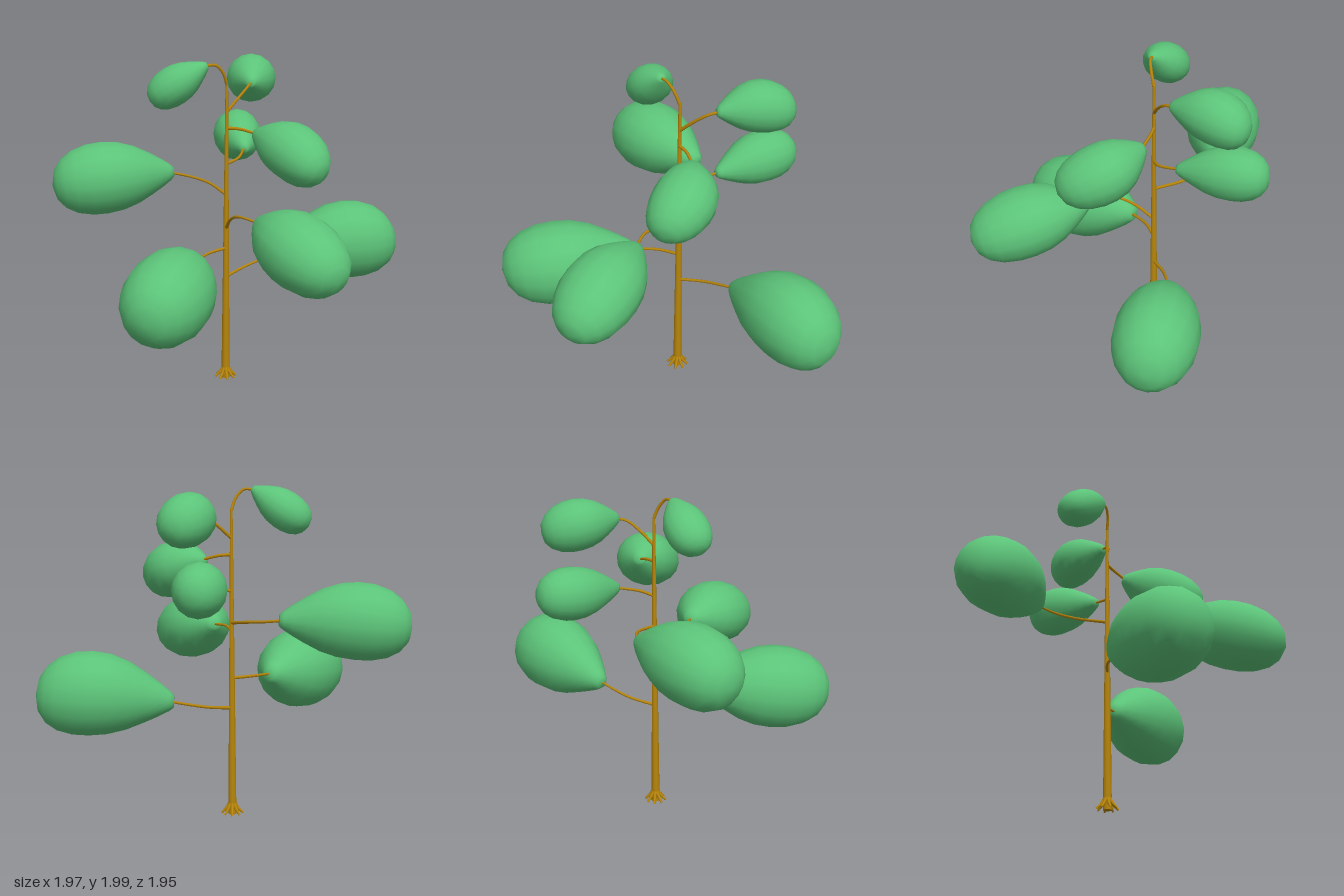
import * as THREE from 'three';
import { mergeVertices } from 'three/addons/utils/BufferGeometryUtils.js';

const bark = new THREE.MeshStandardMaterial({ color: 0xb8860b });
const leaf = new THREE.MeshStandardMaterial({ color: 0x5cc479 });
const V = (a) => new THREE.Vector3(...a);
const X = 0.06, Z = -0.1; // trunk position

// half-width along a leaf clump, from the narrow stem end to the round end
const profile = [[0, 0], [0.15, 0], [0.24, 0.03], [0.4, 0.1], [0.6, 0.2], [0.81, 0.32], [0.95, 0.45],
  [1, 0.58], [0.98, 0.7], [0.87, 0.82], [0.68, 0.91], [0.42, 0.97], [0, 1]]
  .map(([r, t]) => new THREE.Vector2(r, t));

// tip: stem end, belly: centre of the widest section, end: round end, w/h: half sizes
// stem: points of the branch from the trunk to the clump
const limbs = [
  { tip: [0.25, 0.75, -0.42], belly: [0.63, 0.81, -0.71], end: [0.9, 0.8, -0.89], w: 0.235, h: 0.25,
    stem: [[X, 0.67, Z], [0.13, 0.7, -0.26]] },
  { tip: [-0.35, 1.265, -0.22], belly: [-0.69, 1.255, 0.05], end: [-0.95, 1.22, 0.23], w: 0.225, h: 0.222,
    stem: [[X, 1.19, Z], [-0.1, 1.225, -0.2], [-0.24, 1.245, -0.225]] },
  { tip: [-0.03, 0.84, 0.17], belly: [0.03, 0.785, 0.62], end: [0.05, 0.74, 0.97], w: 0.25, h: 0.255,
    stem: [[X, 0.855, Z], [0, 0.85, 0.03]] },
  { tip: [0.36, 1.12, 0.14], belly: [0.67, 1.045, 0.33], end: [0.95, 0.95, 0.5], w: 0.225, h: 0.205,
    stem: [[X, 0.98, Z], [0.13, 1.07, 0], [0.22, 1.12, 0.09]] },
  { tip: [0.21, 1.565, -0.18], belly: [0.47, 1.485, -0.12], end: [0.69, 1.39, 0], w: 0.18, h: 0.165,
    stem: [[X, 1.595, Z], [0.13, 1.587, -0.14]] },
  { tip: [-0.02, 1.975, 0], belly: [-0.2, 1.853, 0.065], end: [-0.33, 1.76, 0.12], w: 0.13, h: 0.115,
    stem: [[X, 1.85, Z], [0.05, 1.92, -0.07], [0.02, 1.97, -0.03]] },
  { tip: [0.13, 1.84, -0.3], belly: [0.035, 1.83, -0.54], end: [0, 1.79, -0.74], w: 0.15, h: 0.148,
    stem: [[X, 1.69, Z], [0.1, 1.76, -0.17], [0.13, 1.82, -0.25]] },
  { tip: [0.09, 1.43, -0.31], belly: [-0.07, 1.455, -0.58], end: [-0.16, 1.47, -0.77], w: 0.15, h: 0.155,
    stem: [[X, 1.38, Z], [0.1, 1.4, -0.18]] },
];

// a lathed teardrop, laid along a slightly bowed axis
function clumpGeometry({ tip, belly, end, w, h }) {
  const a = V(tip), b = V(end);
  const dir = b.clone().sub(a).normalize();
  const side = dir.clone().cross(V([0, 1, 0])).normalize();
  const up = side.clone().cross(dir);
  const bow = V(belly).sub(a.clone().lerp(b, 0.58));
  let g = new THREE.LatheGeometry(profile, 16);
  const p = g.attributes.position, q = new THREE.Vector3();
  for (let i = 0; i < p.count; i++) {
    const t = p.getY(i);
    q.copy(a).lerp(b, t).addScaledVector(bow, Math.sin(Math.PI * t))
      .addScaledVector(side, p.getX(i) * w).addScaledVector(up, p.getZ(i) * h);
    p.setXYZ(i, q.x, q.y, q.z);
  }
  g.deleteAttribute('normal');
  g.deleteAttribute('uv');
  g = mergeVertices(g, 1e-5);
  g.computeVertexNormals();
  return g;
}

// a tube that narrows evenly from r0 to r1
function taperedTube(points, r0, r1, segments, sides) {
  const curve = new THREE.CatmullRomCurve3(points);
  const g = new THREE.TubeGeometry(curve, segments, 1, sides);
  const p = g.attributes.position, q = new THREE.Vector3();
  for (let i = 0; i < p.count; i++) {
    const t = Math.floor(i / (sides + 1)) / segments;
    const c = curve.getPointAt(t);
    q.fromBufferAttribute(p, i).sub(c).multiplyScalar(r0 + (r1 - r0) * t).add(c);
    p.setXYZ(i, q.x, q.y, q.z);
  }
  return g;
}

export function createModel() {
  const model = new THREE.Group();
  model.name = 'tree';
  const add = (geometry, material, name) => {
    const m = new THREE.Mesh(geometry, material);
    m.name = name;
    model.add(m);
    return m;
  };

  // trunk
  add(new THREE.CylinderGeometry(0.008, 0.026, 1.86, 10), bark, 'trunk').position.set(X, 0.93, Z);

  // flared roots around the foot
  for (let i = 0; i < 8; i++) {
    const a = (i / 8) * Math.PI * 2 + 0.2, c = Math.cos(a), s = Math.sin(a);
    const at = (r, y) => new THREE.Vector3(X + c * r, y, Z + s * r);
    add(taperedTube([at(0.015, 0.065), at(0.035, 0.035), at(0.066, 0.004)], 0.013, 0.006, 4, 6), bark, 'root');
  }

  // branches with their leaf clumps
  for (const limb of limbs) {
    const inside = V(limb.tip).lerp(V(limb.end), 0.04);
    add(taperedTube([...limb.stem.map(V), inside], 0.01, 0.0075, 12, 6), bark, 'branch');
    add(clumpGeometry(limb), leaf, 'leafClump');
  }
  return model;
}
